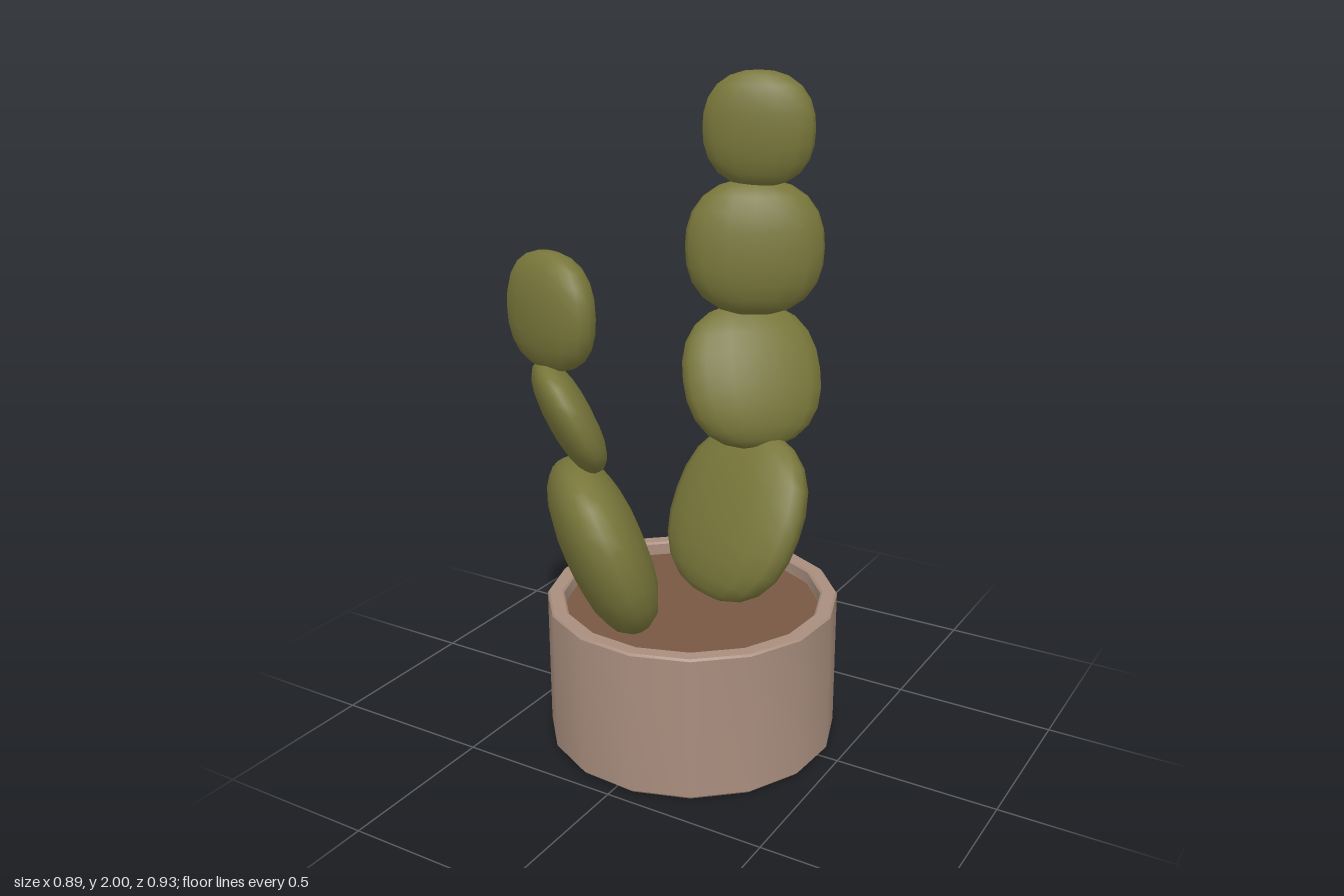
import * as THREE from 'three';
import { toCreasedNormals, mergeVertices } from 'three/addons/utils/BufferGeometryUtils.js';

const green = new THREE.MeshStandardMaterial({ name: 'cactusGreen', color: 0x78763a });
const clay = new THREE.MeshStandardMaterial({ name: 'potClay', color: 0xa98e7e });
const earth = new THREE.MeshStandardMaterial({ name: 'soilBrown', color: 0x775843 });

const SIDES = 16;
const POT_Z = 0.017;
const TURN = 0.127;

// Unit pad: a low sphere swelled slightly towards a rounded box
function padGeometry() {
  const power = 2.35;
  let geo = new THREE.SphereGeometry(1, 16, 12);
  geo.deleteAttribute('uv');
  geo.deleteAttribute('normal');
  geo = mergeVertices(geo, 1e-4);
  const pos = geo.attributes.position;
  const v = new THREE.Vector3();
  for (let i = 0; i < pos.count; i++) {
    v.fromBufferAttribute(pos, i);
    const len = Math.pow(
      Math.abs(v.x) ** power + Math.abs(v.y) ** power + Math.abs(v.z) ** power, 1 / power);
    v.divideScalar(len);
    pos.setXYZ(i, v.x, v.y, v.z);
  }
  geo.computeVertexNormals();
  return geo;
}

// Each pad: centre, half sizes (width, height, thickness), yaw and backward lean in degrees
const STEMS = {
  tallStem: [
    { at: [0.05, 0.66, -0.165], half: [0.272, 0.275, 0.1], yaw: 22, lean: 25 },
    { at: [0.045, 1.08, -0.272], half: [0.222, 0.228, 0.1], yaw: -46, lean: 25 },
    { at: [0.03, 1.475, -0.308], half: [0.213, 0.207, 0.108], yaw: -30, lean: 5 },
    { at: [0.04, 1.83, -0.303], half: [0.17, 0.17, 0.076], yaw: -19, lean: 0 },
  ],
  shortStem: [
    { at: [-0.183, 0.65, 0.232], half: [0.272, 0.275, 0.12], yaw: 45, lean: -20 },
    { at: [-0.245, 1.06, 0.297], half: [0.17, 0.178, 0.065], yaw: 44, lean: -25 },
    { at: [-0.282, 1.37, 0.318], half: [0.172, 0.17, 0.078], yaw: 17, lean: 0 },
  ],
};

function createPot() {
  const pot = new THREE.Group();
  pot.name = 'pot';
  pot.position.z = POT_Z;
  pot.rotation.y = TURN;

  // Bevelled outer wall, rim and inner wall
  const profile = [
    [0, 0], [0.438, 0], [0.447, 0.009], [0.447, 0.446], [0.441, 0.452],
    [0.402, 0.452], [0.396, 0.446], [0.394, 0.38],
  ].map(([r, y]) => new THREE.Vector2(r, y));
  const shell = new THREE.Mesh(
    toCreasedNormals(new THREE.LatheGeometry(profile, SIDES), 0.6), clay);
  shell.name = 'potShell';
  pot.add(shell);

  // Flat soil surface just below the rim
  const soil = new THREE.Mesh(new THREE.CylinderGeometry(0.394, 0.394, 0.02, SIDES), earth);
  soil.name = 'soil';
  soil.position.y = 0.4;
  pot.add(soil);
  return pot;
}

export function createModel() {
  const model = new THREE.Group();
  model.name = 'pottedCactus';
  model.add(createPot());

  // Two stems of stacked flat pads
  const geo = padGeometry();
  for (const [name, pads] of Object.entries(STEMS)) {
    const stem = new THREE.Group();
    stem.name = name;
    pads.forEach(({ at, half, yaw, lean }, i) => {
      const pad = new THREE.Mesh(geo, green);
      pad.name = `${name}Pad${i + 1}`;
      pad.position.set(...at);
      pad.scale.set(...half);
      pad.rotation.set(
        -THREE.MathUtils.degToRad(lean), -THREE.MathUtils.degToRad(yaw), 0, 'YXZ');
      stem.add(pad);
    });
    model.add(stem);
  }
  return model;
}
